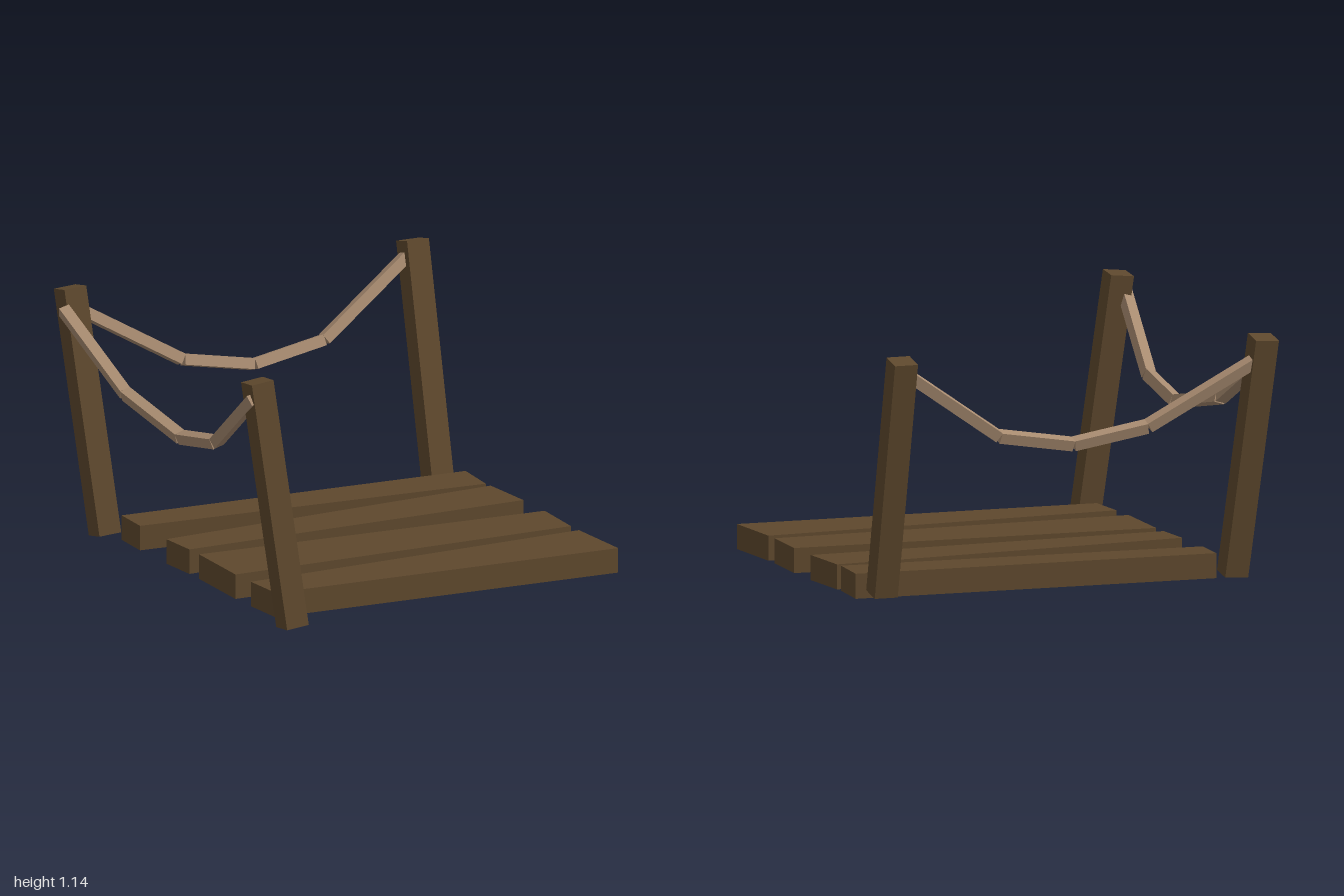
import * as THREE from 'three';

const wood = new THREE.MeshStandardMaterial({ color: 0x5e482d, flatShading: true });
wood.name = 'darkWood';
const ropeTan = new THREE.MeshStandardMaterial({ color: 0xa88b70, flatShading: true });
ropeTan.name = 'ropeTan';

const vec = (p) => new THREE.Vector3(...p);

// Deck board: four-cornered outline in x,z, raised to the board thickness
function makePlank(corners) {
  const shape = new THREE.Shape(corners.map(([x, z]) => new THREE.Vector2(x, -z)));
  const geo = new THREE.ExtrudeGeometry(shape, { depth: 0.113, bevelEnabled: false });
  geo.rotateX(-Math.PI / 2);
  return new THREE.Mesh(geo, wood);
}

// Square post leaning outward between a foot and a top centre
function makePost(foot, top) {
  const a = vec(foot), b = vec(top);
  const up = b.clone().sub(a);
  const length = up.length();
  up.normalize();
  const inward = new THREE.Vector3(-up.x, 0, -up.z).normalize();
  const side = inward.clone().cross(up).normalize();
  const face = up.clone().cross(side);
  const post = new THREE.Mesh(new THREE.BoxGeometry(0.11, length, 0.11), wood);
  post.quaternion.setFromRotationMatrix(new THREE.Matrix4().makeBasis(side, up, face));
  post.position.copy(a).add(b).multiplyScalar(0.5);
  return post;
}

// Sagging rope of straight square pieces, inner face rolled upward
function makeRope(points) {
  const rope = new THREE.Group();
  const roll = THREE.MathUtils.degToRad(18);
  for (let i = 0; i < points.length - 1; i++) {
    const a = vec(points[i]), b = vec(points[i + 1]);
    const dir = b.clone().sub(a);
    const length = dir.length() - 0.008;
    dir.normalize();
    const side = dir.clone().cross(new THREE.Vector3(0, 1, 0)).normalize();
    side.applyAxisAngle(dir, -roll);
    const up = side.clone().cross(dir);
    const piece = new THREE.Mesh(new THREE.BoxGeometry(length, 0.05, 0.05), ropeTan);
    piece.name = 'ropePiece' + (i + 1);
    piece.quaternion.setFromRotationMatrix(new THREE.Matrix4().makeBasis(dir, up, side));
    piece.position.copy(a).add(b).multiplyScalar(0.5);
    rope.add(piece);
  }
  return rope;
}

export function createModel() {
  const model = new THREE.Group();
  model.name = 'dockCorner';
  const add = (name, part) => { part.name = name; model.add(part); };

  // Uneven deck boards, back to front
  [
    [[-0.73, -0.675], [0.972, -0.622], [0.952, -0.39], [-0.74, -0.48]],
    [[-0.74, -0.228], [0.956, -0.352], [0.972, -0.069], [-0.73, -0.028]],
    [[-0.73, 0.065], [0.972, 0.134], [0.956, 0.416], [-0.744, 0.44]],
    [[-0.74, 0.58], [0.956, 0.492], [0.97, 0.841], [-0.73, 0.794]],
  ].forEach((c, i) => add('plank' + (i + 1), makePlank([...c].reverse())));

  // Corner posts
  add('frontRightPost', makePost([-0.695, 0.014, 0.945], [-0.928, 1.13, 0.945]));
  add('backRightPost', makePost([-0.755, 0.014, -0.732], [-0.889, 1.13, -0.92]));
  add('backLeftPost', makePost([0.875, 0.014, -0.695], [0.875, 1.13, -0.945]));

  // Hanging ropes
  add('backRope', makeRope([
    [-0.86, 1.04, -0.933], [-0.33, 0.737, -0.857], [0.02, 0.675, -0.84],
    [0.383, 0.735, -0.86], [0.86, 1.06, -0.94],
  ]));
  add('sideRope', makeRope([
    [-0.907, 1.065, 0.93], [-0.843, 0.738, 0.445], [-0.835, 0.674, 0.092],
    [-0.862, 0.763, -0.388], [-0.92, 1.04, -0.87],
  ]));
  return model;
}
